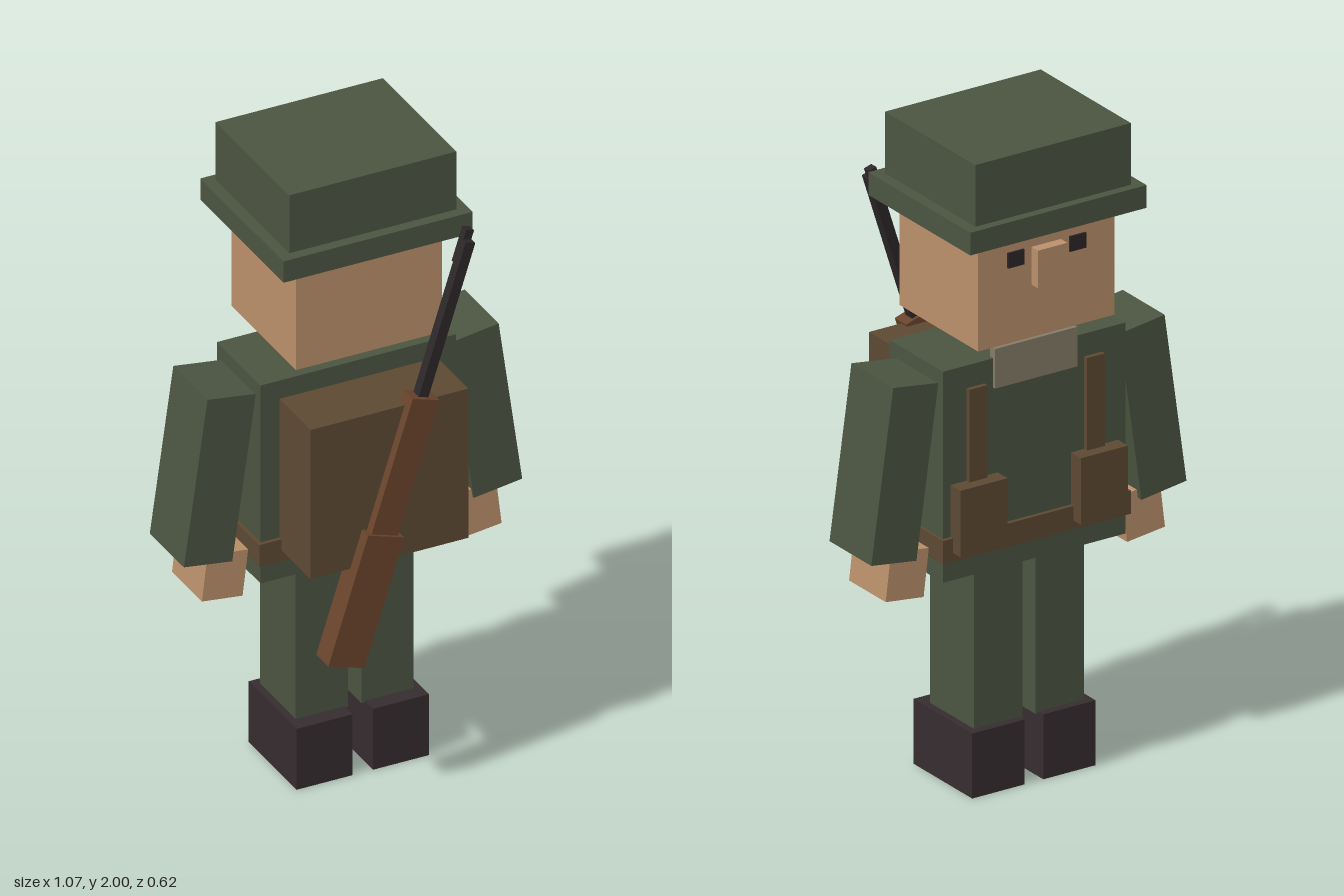
import * as THREE from 'three';

const material = (name, color) => {
  const m = new THREE.MeshStandardMaterial({ color });
  m.name = name;
  return m;
};

export function createModel() {
  const uniform = material('uniformGreen', 0x4b5441);
  const skin = material('skin', 0xba906b);
  const canvas = material('canvasBrown', 0x5d4933);
  const wood = material('rifleWood', 0x6a442c);
  const leather = material('bootLeather', 0x362c2f);
  const metal = material('darkMetal', 0x2d2728);
  const cloth = material('collarCloth', 0x857c68);

  const model = new THREE.Group();
  model.name = 'soldier';

  // Box given by its lower and upper limits on each axis
  const box = (name, mat, [x0, x1], [y0, y1], [z0, z1], parent = model) => {
    const mesh = new THREE.Mesh(new THREE.BoxGeometry(x1 - x0, y1 - y0, z1 - z0), mat);
    mesh.name = name;
    mesh.position.set((x0 + x1) / 2, (y0 + y1) / 2, (z0 + z1) / 2);
    parent.add(mesh);
    return mesh;
  };

  // Hat
  box('hatCrown', uniform, [-0.265, 0.265], [1.81, 2.0], [-0.285, 0.17]);
  box('hatBrim', uniform, [-0.3, 0.3], [1.74, 1.81], [-0.312, 0.203]);

  // Head; the face looks towards -z
  box('head', skin, [-0.232, 0.232], [1.405, 1.74], [-0.25, 0.147]);
  box('nose', skin, [-0.05, 0.05], [1.567, 1.683], [-0.283, -0.25]);
  box('neck', skin, [-0.105, 0.105], [1.34, 1.405], [-0.145, 0.04]);

  // Torso and webbing
  box('torso', uniform, [-0.31, 0.31], [0.69, 1.34], [-0.19, 0.08]);
  box('belt', canvas, [-0.32, 0.32], [0.753, 0.825], [-0.203, 0.092]);
  box('collar', cloth, [-0.14, 0.14], [1.25, 1.372], [-0.2, -0.175]);
  box('backpack', canvas, [-0.25, 0.25], [0.79, 1.28], [0.08, 0.273]);

  // Paired parts
  for (const [side, s] of [['left', 1], ['right', -1]]) {
    const pair = (name, mat, [x0, x1], y, z) =>
      box(side + name, mat, s > 0 ? [x0, x1] : [-x1, -x0], y, z);

    pair('Eye', metal, [0.077, 0.133], [1.638, 1.685], [-0.256, -0.249]);
    pair('Strap', canvas, [0.17, 0.23], [0.8, 1.27], [-0.205, -0.185]);
    pair('Pouch', canvas, [0.125, 0.285], [0.78, 0.985], [-0.24, -0.185]);
    pair('Leg', uniform, [0.022, 0.187], [0.195, 0.69], [-0.163, 0.058]);
    pair('Boot', leather, [0.032, 0.21], [0, 0.2], [-0.188, 0.108]);

    const arm = pair('Arm', uniform, [0.345, 0.5], [0.774, 1.309], [-0.163, 0.048]);
    arm.rotation.z = s * 0.14;
    const hand = pair('Hand', skin, [0.337, 0.467], [0.646, 0.794], [-0.145, 0.04]);
    hand.rotation.z = s * 0.12;
  }

  // Rifle slung over the pack, built upright and then tilted
  const rifle = new THREE.Group();
  rifle.name = 'rifle';
  box('stock', wood, [-0.06, 0.06], [0, 0.415], [0.236, 0.311], rifle);
  box('foreStock', wood, [-0.044, 0.044], [0.39, 0.845], [0.244, 0.302], rifle);
  box('barrel', metal, [-0.016, 0.016], [0.84, 1.335], [0.254, 0.287], rifle);
  box('frontSight', metal, [-0.013, 0.013], [1.255, 1.365], [0.242, 0.267], rifle);
  rifle.position.set(-0.156, 0.495, 0);
  rifle.rotation.z = -0.309;
  model.add(rifle);

  return model;
}
